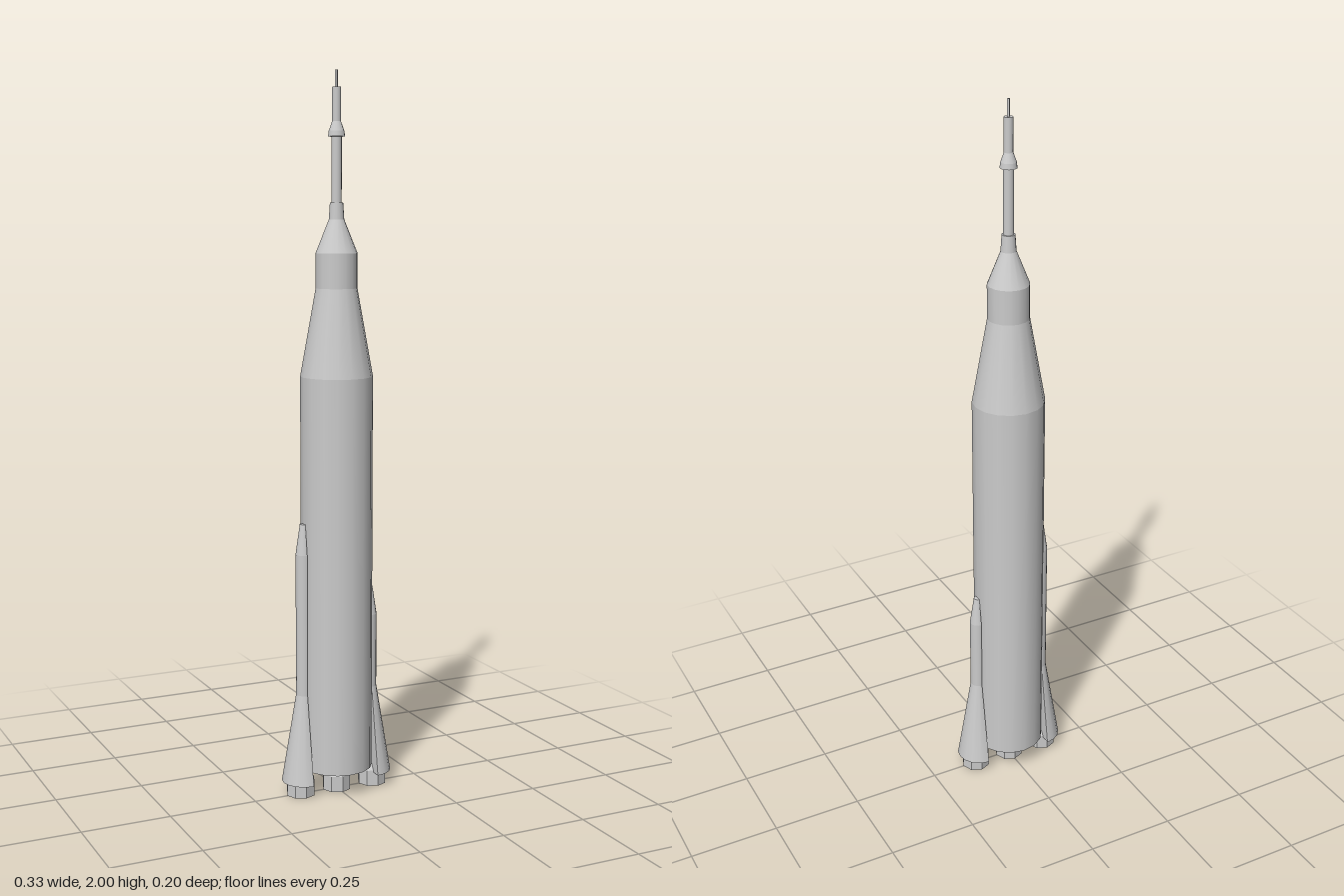
import * as THREE from 'three';

const mat = new THREE.MeshStandardMaterial({ color: 0xcccccc });
const thin = new THREE.MeshStandardMaterial({ color: 0xcccccc, side: THREE.DoubleSide });
const faceted = new THREE.MeshStandardMaterial({ color: 0xcccccc, side: THREE.DoubleSide, flatShading: true });

function add(parent, name, geometry, material = mat) {
  const mesh = new THREE.Mesh(geometry, material);
  mesh.name = name;
  parent.add(mesh);
  return mesh;
}

// Stacked smooth rings with a sharp edge between them; profile is [radius, y] upward
function stack(parent, name, profile, sides, material = mat, arc = Math.PI * 2) {
  for (let i = 0; i < profile.length - 1; i++) {
    const [r0, y0] = profile[i], [r1, y1] = profile[i + 1];
    if (y0 === y1) {
      // Flat step facing down when widening, up when narrowing
      const ring = new THREE.RingGeometry(Math.min(r0, r1), Math.max(r0, r1), sides, 1, -Math.PI / 2, arc);
      ring.rotateX(r1 > r0 ? Math.PI / 2 : -Math.PI / 2).translate(0, y0, 0);
      add(parent, name, ring, material);
    } else {
      const g = new THREE.CylinderGeometry(r1, r0, y1 - y0, sides, 1, true, 0, arc);
      add(parent, name, g.translate(0, (y0 + y1) / 2, 0), material);
    }
  }
}

// Octagonal engine bell with a recessed mouth
function nozzle(parent, x) {
  const points = [[0, 0.03], [0.026, 0.025], [0.034, 0], [0.041, 0], [0.041, 0.045], [0.024, 0.07]]
    .map(([r, y]) => new THREE.Vector2(r, y));
  add(parent, 'engineNozzle', new THREE.LatheGeometry(points, 8), faceted).position.x = x;
}

// Half-round side booster, flat against the body
function booster(name, shoulder, top) {
  const group = new THREE.Group();
  group.name = name;
  const profile = [[0, 0.04], [0.064, 0.04], [0.023, 0.29], [0.023, shoulder], [0.011, top], [0, top]];
  stack(group, 'boosterShell', profile, 8, thin, Math.PI);
  const outline = [...profile, ...profile.slice(1, -1).reverse().map(([r, y]) => [-r, y])];
  const panel = new THREE.ShapeGeometry(new THREE.Shape(outline.map(([r, y]) => new THREE.Vector2(r, y))));
  add(group, 'boosterBack', panel.rotateY(-Math.PI / 2), thin);
  nozzle(group, 0.012);
  group.position.x = 0.1;
  return group;
}

export function createModel() {
  const rocket = new THREE.Group();
  rocket.name = 'rocket';

  // Main body, tapered upper stage and capsule
  stack(rocket, 'mainBody', [[0, 0.07], [0.1, 0.07], [0.1, 1.18]], 16);
  stack(rocket, 'upperStage', [[0.1, 1.18], [0.057, 1.42], [0.057, 1.515]], 16);
  stack(rocket, 'capsule', [[0.057, 1.515], [0.021, 1.605]], 16);

  // Escape tower with its flared collar and needle
  stack(rocket, 'escapeTower', [[0.021, 1.605], [0.018, 1.65], [0.014, 1.65], [0.014, 1.825],
    [0.023, 1.825], [0.021, 1.84], [0.012, 1.865], [0.012, 1.955], [0, 1.955]], 16);
  add(rocket, 'needle', new THREE.CylinderGeometry(0.004, 0.004, 0.05, 4), faceted).position.y = 1.975;

  nozzle(rocket, 0);

  // Side boosters of unequal height
  rocket.add(booster('leftBooster', 0.5, 0.58));
  const right = booster('rightBooster', 0.69, 0.775);
  right.rotation.y = Math.PI;
  right.position.x = -0.1;
  rocket.add(right);

  return rocket;
}
